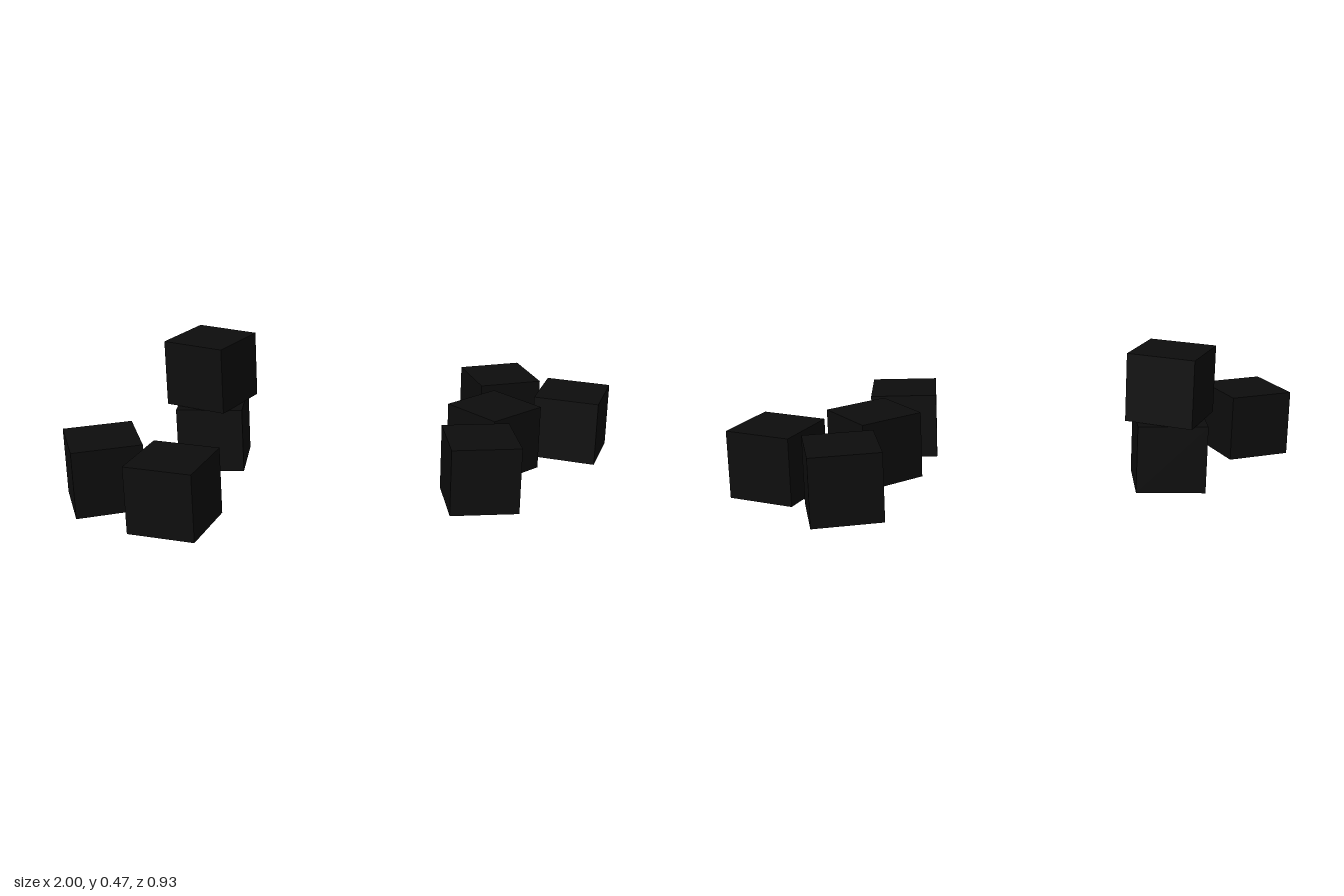
import * as THREE from 'three';

export function createModel() {
  const group = new THREE.Group();
  group.name = 'scatteredCubes';

  const black = new THREE.MeshStandardMaterial({ color: 0x0d0d0d });
  black.name = 'black';

  const size = 0.234;
  const geometry = new THREE.BoxGeometry(size, size, size);

  // name, x, base height, z, turn in degrees
  const cubes = [
    // left cluster
    ['leftBackCube', 0.629, 0, -0.341, 5],
    ['leftOuterCube', 0.841, 0, -0.107, -30],
    ['leftMiddleCube', 0.513, 0, 0, 30],
    ['leftFrontCube', 0.388, 0, 0.289, -5],
    // right pair
    ['rightOuterCube', -0.866, 0, 0.091, 10],
    ['rightFrontCube', -0.638, 0, 0.307, -25],
    // stacked pair
    ['stackLowerCube', -0.482, 0, -0.224, -10],
    ['stackUpperCube', -0.482, 0.236, -0.224, -35],
  ];

  for (const [name, x, base, z, turn] of cubes) {
    const cube = new THREE.Mesh(geometry, black);
    cube.name = name;
    cube.position.set(x, base + size / 2, z);
    cube.rotation.y = THREE.MathUtils.degToRad(turn);
    group.add(cube);
  }
  return group;
}
